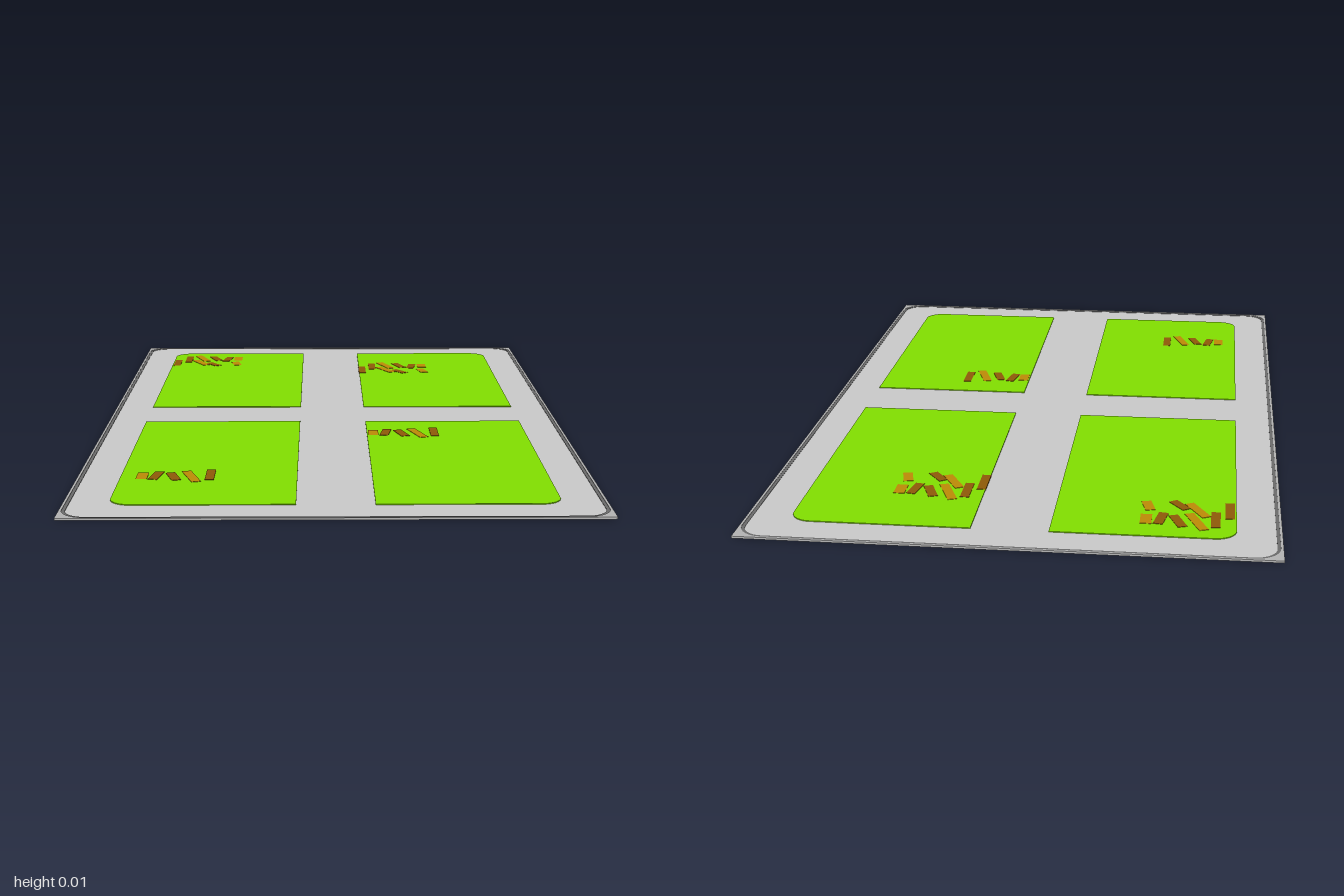
import * as THREE from 'three';

const mat = (name, color) => Object.assign(new THREE.MeshStandardMaterial({ color }), { name });

// Rounded rectangle outline; radii in order: (-x,-y), (+x,-y), (+x,+y), (-x,+y)
function outline(Type, x0, y0, x1, y1, [a, b, c, d]) {
  const s = new Type();
  s.moveTo(x0 + a, y0);
  s.lineTo(x1 - b, y0);
  if (b) s.absarc(x1 - b, y0 + b, b, -Math.PI / 2, 0);
  s.lineTo(x1, y1 - c);
  if (c) s.absarc(x1 - c, y1 - c, c, 0, Math.PI / 2);
  s.lineTo(x0 + d, y1);
  if (d) s.absarc(x0 + d, y1 - d, d, Math.PI / 2, Math.PI);
  s.lineTo(x0, y0 + a);
  if (a) s.absarc(x0 + a, y0 + a, a, Math.PI, Math.PI * 1.5);
  return s;
}

// Lay a shape flat (shape y becomes -z) between two heights
function slab(name, shape, bottom, top, material) {
  const geo = new THREE.ExtrudeGeometry(shape, { depth: top - bottom, bevelEnabled: false, curveSegments: 6 });
  geo.rotateX(-Math.PI / 2);
  const mesh = new THREE.Mesh(geo, material);
  mesh.name = name;
  mesh.position.y = bottom;
  return mesh;
}

export function createModel() {
  const group = new THREE.Group();
  group.name = 'gardenPlot';
  const paving = mat('paving grey', 0xcacaca);
  const rimGrey = mat('rim grey', 0xb4b4b4);
  const curb = mat('curb grey', 0x6c6c6c);
  const grass = mat('grass green', 0x82e000);
  const dark = mat('dark brown', 0x8f5a08);
  const light = mat('light brown', 0xbd8c06);
  dark.side = light.side = THREE.DoubleSide;

  // Concentric border outlines, by distance from the outer edge
  const border = (Type, inset, r) =>
    outline(Type, -0.618 + inset, -1 + inset, 0.618 - inset, 1 - inset, [r, r, r, r]);

  // Four lawns, each rounded only at its outermost corner
  const path = border(THREE.Shape, 0.014, 0.052);
  for (const sx of [-1, 1]) for (const sy of [-1, 1]) {
    const radii = [[-1, -1], [1, -1], [1, 1], [-1, 1]].map(([x, y]) => (x === sx && y === sy ? 0.05 : 0));
    const box = [Math.min(sx * 0.09, sx * 0.515), Math.min(sy * 0.09, sy * 0.895),
      Math.max(sx * 0.09, sx * 0.515), Math.max(sy * 0.09, sy * 0.895)];
    path.holes.push(outline(THREE.Path, ...box, radii));
    group.add(slab('lawn', outline(THREE.Shape, ...box, radii), 0.002, 0.005, grass));
  }

  // Paving around the lawns
  group.add(slab('paving', path, 0.002, 0.003, paving));

  // Rounded curb line and the square-cornered rim outside it
  const ring = border(THREE.Shape, 0.006, 0.06);
  ring.holes.push(border(THREE.Path, 0.014, 0.052));
  group.add(slab('curb', ring, 0.001, 0.004, curb));
  const rim = border(THREE.Shape, 0, 0);
  rim.holes.push(border(THREE.Path, 0.006, 0.06));
  group.add(slab('rim', rim, 0, 0.005, rimGrey));

  // Scattered planks: x, z, width, length, turn in degrees, material
  const backPlanks = [
    [-0.5, -0.735, 0.022, 0.095, 0, dark], [-0.467, -0.79, 0.022, 0.09, 0, dark],
    [-0.423, -0.805, 0.023, 0.1, 21, light], [-0.38, -0.805, 0.023, 0.07, 20, dark],
    [-0.34, -0.793, 0.023, 0.068, -10, dark], [-0.306, -0.8, 0.027, 0.055, 0, light],
    [-0.425, -0.737, 0.023, 0.09, 28, light], [-0.382, -0.71, 0.023, 0.06, 35, dark],
    [-0.308, -0.72, 0.024, 0.055, 13, light],
  ];
  const frontPlanks = [
    [0.107, 0.225, 0.027, 0.055, 0, light], [0.14, 0.222, 0.023, 0.07, -10, dark],
    [0.182, 0.23, 0.023, 0.07, 17, dark], [0.225, 0.23, 0.023, 0.1, 18, light],
    [0.27, 0.217, 0.022, 0.09, 0, dark],
  ];
  const scatter = (name, planks, dx, dz) => {
    const set = new THREE.Group();
    set.name = name;
    for (const [x, z, w, l, turn, material] of planks) {
      // Hollow plank: the bottom face is left out
      const geo = new THREE.BoxGeometry(w, 0.006, l);
      geo.groups = geo.groups.filter((face) => face.materialIndex !== 3);
      const plank = new THREE.Mesh(geo, Array(6).fill(material));
      plank.name = 'plank';
      plank.position.set(x + dx, 0.003, z + dz);
      plank.rotation.y = THREE.MathUtils.degToRad(turn);
      set.add(plank);
    }
    group.add(set);
  };
  scatter('backRightPlanks', backPlanks, 0, 0);
  scatter('backLeftPlanks', backPlanks, 0.6, 0.12);
  scatter('frontLeftPlanks', frontPlanks, 0, 0);
  scatter('frontRightPlanks', frontPlanks, -0.57, 0.43);
  return group;
}
